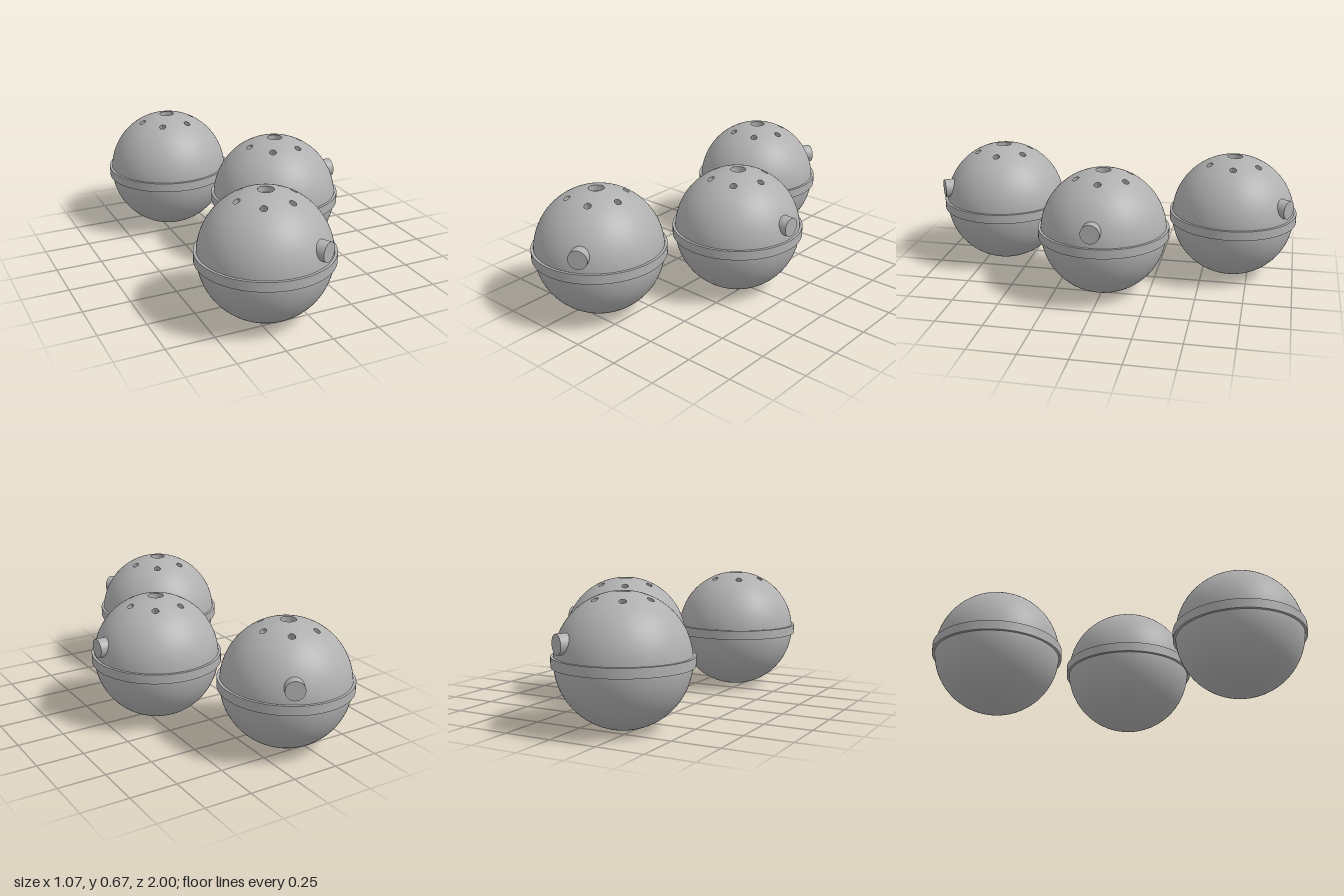
import * as THREE from 'three';
import { toCreasedNormals } from 'three/addons/utils/BufferGeometryUtils.js';

const R = 0.334, MID_Y = 0.335;            // sphere radius and centre height
const BIG = 0.04, SMALL = 0.018;           // bore radii
const HOLE_TILT = 0.467;                   // polar angle of the small holes
const CAP_START = Math.asin(BIG / R), CAP_END = 0.72;

const body = new THREE.MeshStandardMaterial({ color: 0xb0b0b0 });
body.name = 'grey';

function part(name, geometry, parent) {
  const mesh = new THREE.Mesh(geometry, body);
  mesh.name = name;
  parent.add(mesh);
  return mesh;
}

const lathe = (points, segments) =>
  toCreasedNormals(new THREE.LatheGeometry(points.map(p => new THREE.Vector2(...p)), segments), 0.6);

// One sixth of the perforated cap: a spherical patch with a round hole in it
function capSector(phi0) {
  const N = 48, M = 8, pos = [], nor = [], index = [];
  for (let j = 0; j <= M; j++) {
    for (let i = 0; i <= N; i++) {
      const a = (i / N) * Math.PI * 2, c = Math.cos(a), s = Math.sin(a);
      const k = 1 / Math.max(Math.abs(c), Math.abs(s)), t = j / M;
      const reach = c > 0 ? CAP_END - HOLE_TILT : HOLE_TILT - CAP_START;
      const ang = SMALL / R;
      const theta = HOLE_TILT + THREE.MathUtils.lerp(ang * c, reach * c * k, t);
      const phi = phi0 + THREE.MathUtils.lerp(ang * s / Math.sin(HOLE_TILT), Math.PI / 6 * s * k, t);
      const n = [Math.sin(theta) * Math.cos(phi), Math.cos(theta), Math.sin(theta) * Math.sin(phi)];
      nor.push(...n);
      pos.push(...n.map(v => v * R));
      if (i < N && j < M) {
        const p = j * (N + 1) + i, q = p + N + 1;
        index.push(p, p + 1, q, p + 1, q + 1, q);
      }
    }
  }
  const g = new THREE.BufferGeometry();
  g.setAttribute('position', new THREE.Float32BufferAttribute(pos, 3));
  g.setAttribute('normal', new THREE.Float32BufferAttribute(nor, 3));
  g.setIndex(index);
  return g;
}

// Blind hole seen from inside, with its mouth on the sphere's surface
function bore(radius, depth) {
  const top = Math.sqrt(R * R - radius * radius);
  return lathe([[radius, top], [radius, top - depth], [0, top - depth]], 32);
}

function createBall() {
  const ball = new THREE.Group();

  part('shell', new THREE.SphereGeometry(R, 96, 48, 0, Math.PI * 2, CAP_END - 0.01, Math.PI - CAP_END + 0.01), ball);

  // Perforated top
  part('centreHole', bore(BIG, 0.03), ball);
  const small = bore(SMALL, 0.05);
  for (let i = 0; i < 6; i++) {
    const phi = i * Math.PI / 3;
    part('capSector', capSector(phi), ball);
    const hole = part('smallHole', small, ball);
    hole.rotation.set(0, -phi, -HOLE_TILT);
  }

  // Belt around the middle
  part('belt', lathe([[0.32, -0.025], [0.347, -0.025], [0.347, 0.025], [0.32, 0.025]], 96), ball);

  // Stub button on the outer side
  const button = part('button', new THREE.CylinderGeometry(0.05, 0.05, 0.07, 48), ball);
  button.rotation.z = -Math.PI / 2;
  button.position.set(0.315, 0.103, 0);
  return ball;
}

export function createModel() {
  const model = new THREE.Group();
  model.name = 'threeBalls';
  const layout = [
    ['frontBall', -0.19, 0.653, -Math.PI / 3],
    ['middleBall', 0.187, 0, 0],
    ['backBall', -0.19, -0.653, Math.PI / 3],
  ];
  for (const [name, x, z, turn] of layout) {
    const ball = createBall();
    ball.name = name;
    ball.position.set(x, MID_Y, z);
    ball.rotation.y = turn;
    model.add(ball);
  }
  return model;
}
